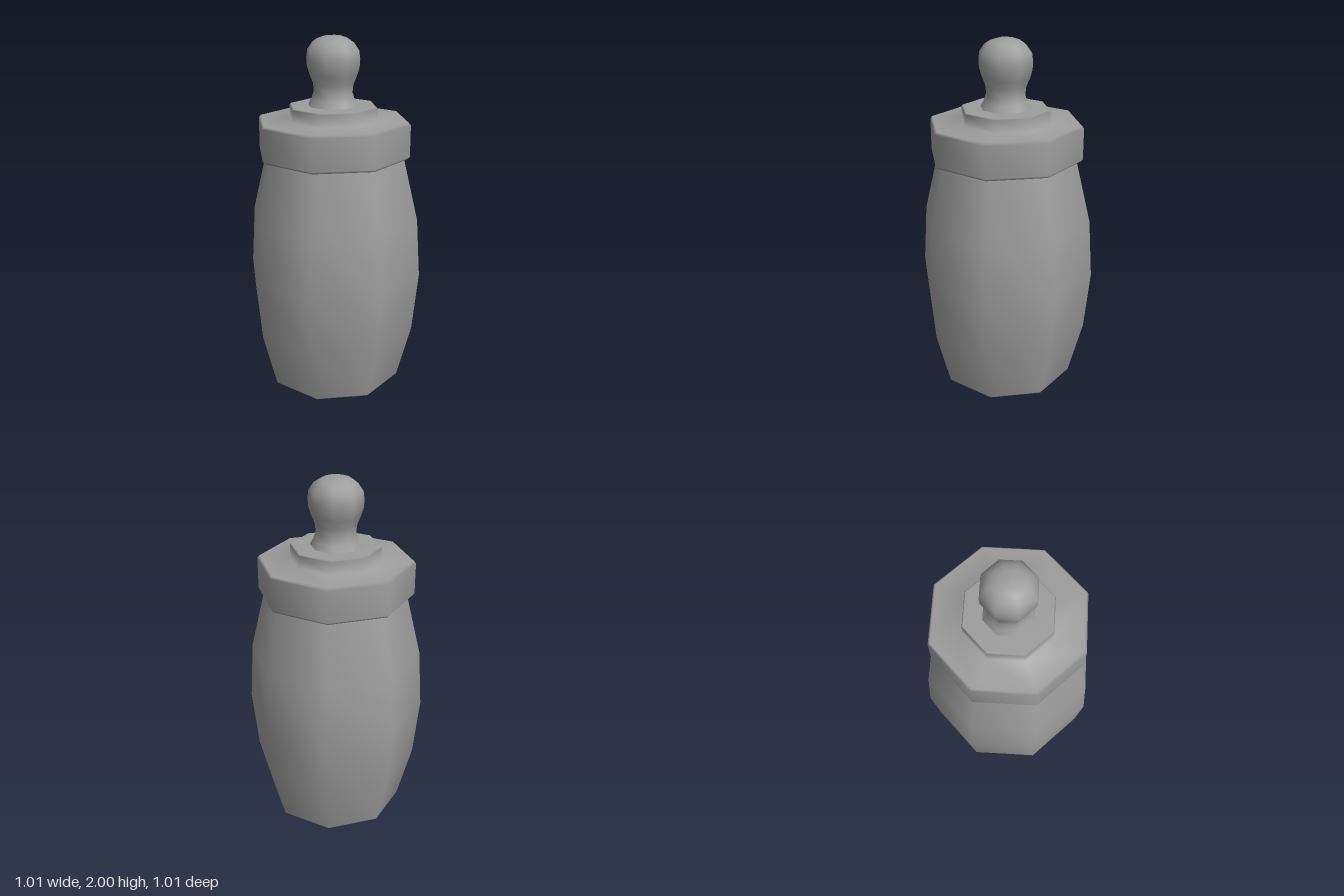
import * as THREE from 'three';

const SIDES = 8;

// Smooth octagonal turned part; narrow bevels in the profile keep its rims crisp.
function turned(name, profile, material, x = 0) {
  const points = profile.map(([r, y]) => new THREE.Vector2(r, y));
  const mesh = new THREE.Mesh(new THREE.LatheGeometry(points, SIDES), material);
  mesh.name = name;
  mesh.position.x = x;
  return mesh;
}

export function createModel() {
  const group = new THREE.Group();
  group.name = 'babyBottle';
  const material = new THREE.MeshStandardMaterial({ color: 0x9d9d9d });
  const topShift = -0.005;

  // Barrel-shaped bottle with a flat base
  group.add(turned('bottleBody', [
    [0, 0], [0.377, 0], [0.388, 0.012],
    [0.47, 0.33], [0.503, 0.67], [0.481, 1.0], [0.394, 1.36],
  ], material));

  // Screw ring stepping up into the teat's flange
  group.add(turned('screwRing', [
    [0.3, 1.347], [0.42, 1.347], [0.433, 1.361],
    [0.433, 1.536], [0.421, 1.55], [0.249, 1.55],
    [0.249, 1.619], [0.243, 1.626], [0.1, 1.626],
  ], material, topShift));

  // Rounded teat with a narrow neck
  group.add(turned('teat', [
    [0.144, 1.62], [0.122, 1.66], [0.109, 1.7], [0.114, 1.745], [0.133, 1.79],
    [0.147, 1.835], [0.15, 1.88], [0.144, 1.925], [0.116, 1.965],
    [0.085, 1.985], [0.045, 1.998], [0, 2],
  ], material, topShift));

  return group;
}
